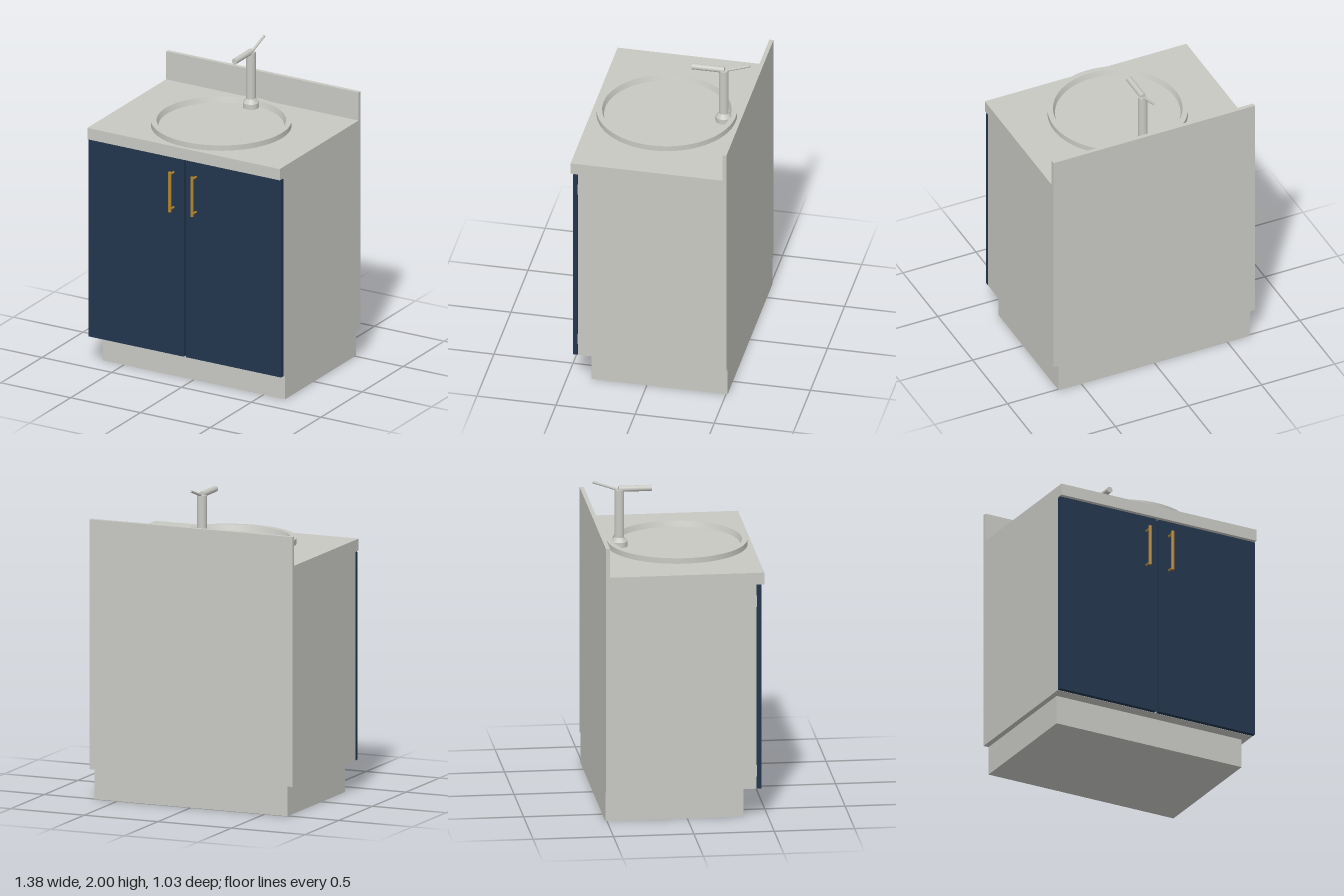
import * as THREE from 'three';
import { toCreasedNormals } from 'three/addons/utils/BufferGeometryUtils.js';

const mat = (name, color) => {
  const m = new THREE.MeshStandardMaterial({ color });
  m.name = name;
  return m;
};

export function createModel() {
  const grey = mat('light grey', 0xc8c8c3);
  const navy = mat('navy blue', 0x22354d);
  const brass = mat('brass', 0xb5852f);
  const model = new THREE.Group();
  model.name = 'vanityCabinet';

  const add = (name, geometry, material, parent = model) => {
    const mesh = new THREE.Mesh(geometry, material);
    mesh.name = name;
    parent.add(mesh);
    return mesh;
  };
  // Box given by its extents on each axis
  const box = (name, material, [x0, x1], [y0, y1], [z0, z1], parent) => {
    const mesh = add(name, new THREE.BoxGeometry(x1 - x0, y1 - y0, z1 - z0), material, parent);
    mesh.position.set((x0 + x1) / 2, (y0 + y1) / 2, (z0 + z1) / 2);
    return mesh;
  };
  // Cylinder between two points
  const rod = (name, material, a, b, r, parent, sides = 24) => {
    const from = new THREE.Vector3(...a), to = new THREE.Vector3(...b);
    const dir = to.clone().sub(from);
    const mesh = add(name, new THREE.CylinderGeometry(r, r, dir.length(), sides), material, parent);
    mesh.position.copy(from).add(to).multiplyScalar(0.5);
    mesh.quaternion.setFromUnitVectors(new THREE.Vector3(0, 1, 0), dir.normalize());
    return mesh;
  };
  const lathe = (name, points, segments, parent) => add(name, toCreasedNormals(
    new THREE.LatheGeometry(points.map(p => new THREE.Vector2(...p)), segments), 0.5), grey, parent);

  // Plinth and hollow carcass
  box('plinth', grey, [-0.655, 0.655], [0, 0.187], [-0.51, 0.35]);
  const carcass = new THREE.Group();
  carcass.name = 'carcass';
  model.add(carcass);
  box('bottomPanel', grey, [-0.665, 0.665], [0.187, 0.212], [-0.485, 0.427], carcass);
  box('backPanel', grey, [-0.665, 0.665], [0.187, 1.5], [-0.51, -0.485], carcass);
  box('shelf', grey, [-0.665, 0.665], [0.715, 0.735], [-0.485, 0.38], carcass);
  box('frontRail', grey, [-0.665, 0.665], [1.43, 1.5], [0.4, 0.427], carcass);

  // Sides, doors, hinges and handles, mirrored
  for (const s of [-1, 1]) {
    const side = s > 0 ? 'left' : 'right';
    const span = (a, b) => (s > 0 ? [a, b] : [-b, -a]);
    box(side + 'SidePanel', grey, span(0.665, 0.69), [0.187, 1.5], [-0.51, 0.427], carcass);
    box(side + 'Door', navy, span(0.008, 0.69), [0.187, 1.495], [0.43, 0.458]);
    for (const y of [0.3, 1.39])
      box(side + 'Hinge', grey, span(0.64, 0.689), [y - 0.035, y + 0.035], [0.42, 0.434]);

    const handle = new THREE.Group();
    handle.name = side + 'Handle';
    handle.position.set(s * 0.08, 0, 0);
    model.add(handle);
    rod('handleBar', brass, [0, 1.15, 0.507], [0, 1.413, 0.507], 0.01, handle, 16);
    for (const y of [1.165, 1.397])
      rod('handlePost', brass, [0, y, 0.455], [0, y, 0.507], 0.007, handle, 12);
  }

  // Countertop and splashback
  box('countertop', grey, [-0.69, 0.69], [1.5, 1.575], [-0.51, 0.475]);
  box('splashback', grey, [-0.69, 0.69], [1.575, 1.76], [-0.51, -0.484]);

  // Raised round basin rim
  const rim = lathe('basinRim',
    [[0.435, 0], [0.435, 0.035], [0.4, 0.035], [0.388, 0.0]], 72);
  rim.position.set(0, 1.575, 0.015);

  // Tap
  const tap = new THREE.Group();
  tap.name = 'tap';
  tap.position.z = -0.345;
  model.add(tap);
  lathe('tapBase', [[0.05, 1.575], [0.05, 1.608], [0.031, 1.635], [0, 1.635]], 32, tap);
  rod('tapColumn', grey, [0, 1.6, 0], [0, 1.94, 0], 0.03, tap, 32);
  rod('tapSpout', grey, [0, 1.943, -0.005], [0, 1.943, 0.2], 0.019, tap);
  rod('tapLever', grey, [0, 1.942, -0.02], [0, 1.992, -0.164], 0.008, tap, 16);

  return model;
}
